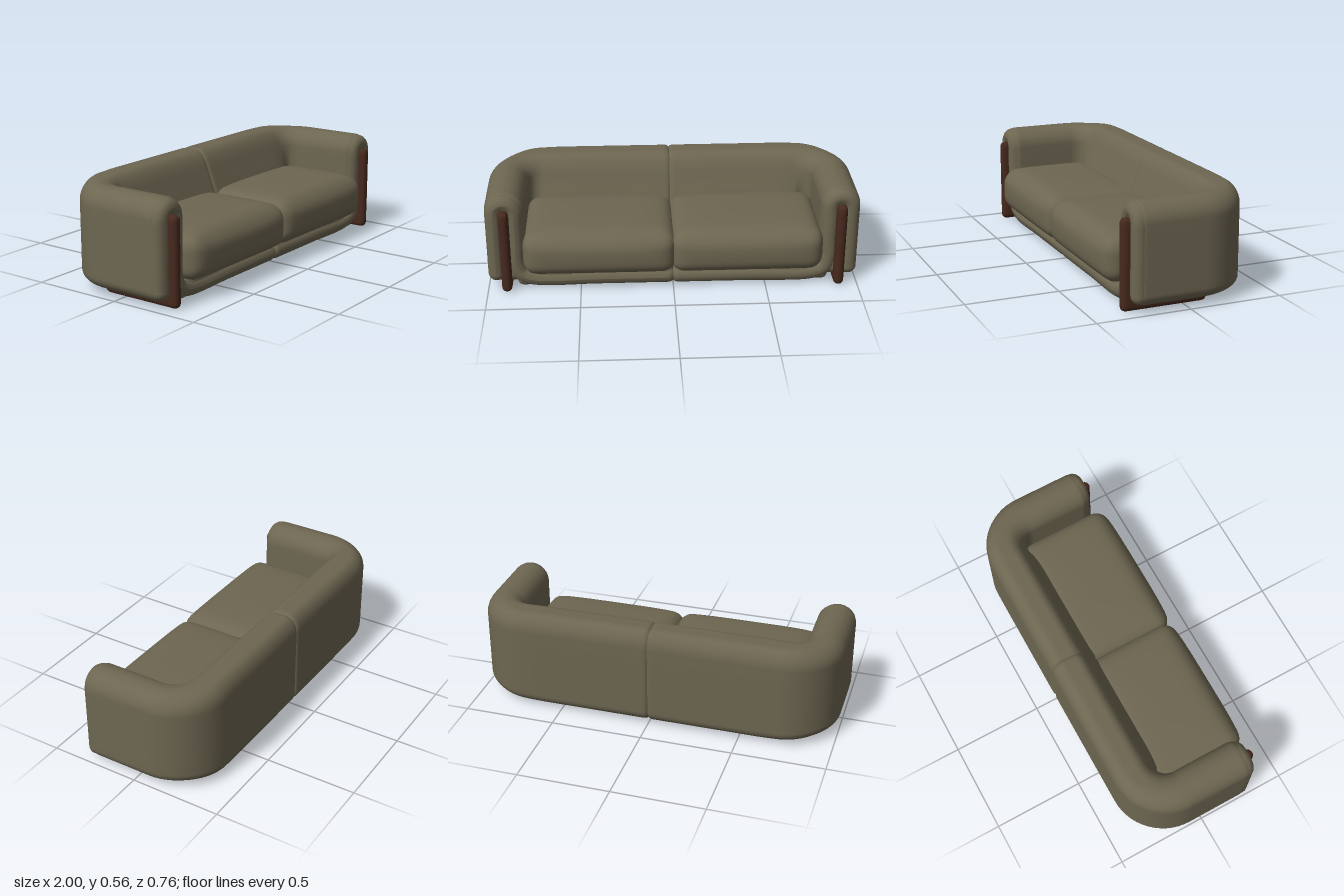
import * as THREE from 'three';
import { mergeVertices } from 'three/addons/utils/BufferGeometryUtils.js';

const fabric = new THREE.MeshStandardMaterial({ color: 0x6d6651 });
fabric.name = 'olive fabric';
const wood = new THREE.MeshStandardMaterial({ color: 0x47291e });
wood.name = 'dark wood';

// Box with rounded edges of radius r, swollen on top (crown) and in front (bulge)
function softBox(w, h, d, r, crown = 0, bulge = 0) {
  let g = new THREE.BoxGeometry(2, 2, 2, 24, 20, 24);
  g.deleteAttribute('uv');
  g.deleteAttribute('normal');
  g = mergeVertices(g);
  const pos = g.attributes.position;
  const half = new THREE.Vector3(w / 2, h / 2, d / 2);
  const core = half.clone().subScalar(r);
  const p = new THREE.Vector3(), inner = new THREE.Vector3();
  const ease = v => Math.sin(v * Math.PI / 2);
  for (let i = 0; i < pos.count; i++) {
    p.fromBufferAttribute(pos, i);
    p.set(ease(p.x), ease(p.y), ease(p.z)).multiply(half);
    inner.copy(p).clamp(core.clone().negate(), core);
    p.sub(inner).setLength(r).add(inner);
    const fx = 1 - (p.x / half.x) ** 4, fy = 1 - (p.y / half.y) ** 2, fz = 1 - (p.z / half.z) ** 4;
    if (p.y > 0) p.y += crown * fx * fz * p.y / half.y;
    if (p.z > 0) p.z += bulge * fx * fy * p.z / half.z;
    pos.setXYZ(i, p.x, p.y, p.z);
  }
  g.computeVertexNormals();
  return g;
}

// Rounded upright cross-section: u runs inward from the outer face, e is the inset
function shellSection(t, lean, y0, y1, e) {
  const corners = [
    [e, y0 + e, 0.06, Math.PI * 1.5], [e, y1 - e, 0.1, Math.PI],
    [t - e, y1 - e, 0.1, Math.PI / 2], [t - e, y0 + e, 0.06, 0],
  ];
  const arcs = corners.map(([u, y, radius, start]) => {
    const r = Math.max(radius - e, 0.01);
    const cu = u + (u < t / 2 ? r : -r), cy = y + (y < 0.3 ? r : -r);
    return Array.from({ length: 9 }, (_, k) => {
      const a = start - k / 8 * Math.PI / 2;
      return [cu + r * Math.cos(a), cy + r * Math.sin(a)];
    });
  });
  const out = [];
  arcs.forEach((arc, i) => {
    out.push(...arc);
    const a = arc[8], b = arcs[(i + 1) % 4][0];
    for (let k = 1; k < 6; k++) {
      out.push([THREE.MathUtils.lerp(a[0], b[0], k / 6), THREE.MathUtils.lerp(a[1], b[1], k / 6)]);
    }
  });
  // lean the inner face back above the seat
  return out.map(([u, y]) => [u - lean * THREE.MathUtils.smoothstep(y, 0.2, 0.56) * u / t, y]);
}

// Half of the back, its round corner and one arm, swept as a single body
function shellHalf() {
  const stations = []; // x, z, outward normal x, z, back fraction, inset
  [[0, 0.012], [0.006, 0.005], [0.016, 0.001], [0.03, 0], [0.3, 0], [0.5, 0], [0.6, 0], [0.65, 0]]
    .forEach(([x, e]) => stations.push([x, -0.38, 0, -1, x > 0.62 ? 0.93 : 1, e]));
  for (let k = 0; k <= 14; k++) {
    const a = k / 14 * Math.PI / 2;
    const b = 0.8 * (1 - THREE.MathUtils.smoothstep(k / 14, 0, 0.65));
    stations.push([0.7 + 0.3 * Math.sin(a), -0.08 - 0.3 * Math.cos(a), Math.sin(a), -Math.cos(a), b, 0]);
  }
  [0.05, 0.15].forEach(z => stations.push([1, z, 1, 0, 0, 0]));
  for (let k = 0; k <= 7; k++) {
    const a = k / 7 * Math.PI / 2;
    stations.push([1, 0.235 + 0.055 * Math.sin(a), 1, 0, 0, 0.05 * (1 - Math.cos(a))]);
  }
  const verts = [], index = [];
  let n = 0;
  for (const [x, z, nx, nz, b, e] of stations) {
    const sec = shellSection(0.21 + 0.09 * b, 0.1 * b, 0.037 - 0.017 * b, 0.556 + 0.008 * b, e);
    n = sec.length;
    for (const [u, y] of sec) verts.push(x - nx * u, y, z - nz * u);
  }
  for (let j = 0; j < stations.length - 1; j++) {
    for (let i = 0; i < n; i++) {
      const i2 = (i + 1) % n, a = j * n + i, b = j * n + i2;
      index.push(a, b, a + n, b, b + n, a + n);
    }
  }
  // front end cap
  const last = (stations.length - 1) * n, centre = verts.length / 3;
  verts.push(0.895, 0.3, 0.29);
  for (let i = 0; i < n; i++) index.push(last + i, last + (i + 1) % n, centre);
  const g = new THREE.BufferGeometry();
  g.setAttribute('position', new THREE.Float32BufferAttribute(verts, 3));
  g.setIndex(index);
  g.computeVertexNormals();
  return g;
}

// Front edge roll: up the outer arm, over the leg, down and along the base
function frontRollPath() {
  const pts = [[0.953, 0.09], [0.953, 0.25], [0.953, 0.4]];
  for (let k = 0; k <= 8; k++) {
    const a = k / 8 * Math.PI;
    pts.push([0.8975 + 0.0555 * Math.cos(a), 0.452 + 0.0555 * Math.sin(a)]);
  }
  pts.push([0.842, 0.4], [0.842, 0.25], [0.842, 0.15], [0.818, 0.085], [0.75, 0.057], [0.4, 0.055], [0.03, 0.055]);
  return new THREE.CatmullRomCurve3(pts.map(([x, y]) => new THREE.Vector3(x, y, 0.257)), false, 'centripetal');
}

function mirrored(g) {
  const m = g.clone().scale(-1, 1, 1);
  const ix = m.index.array;
  for (let i = 0; i < ix.length; i += 3) [ix[i], ix[i + 1]] = [ix[i + 1], ix[i]];
  m.computeVertexNormals();
  return m;
}

export function createModel() {
  const model = new THREE.Group();
  model.name = 'sofa';
  const addPair = (name, geometry, material) => {
    [['left', geometry], ['right', mirrored(geometry)]].forEach(([side, g]) => {
      const mesh = new THREE.Mesh(g, material);
      mesh.name = side + name;
      model.add(mesh);
    });
  };

  addPair('BackAndArm', shellHalf(), fabric);
  addPair('SeatCushion', softBox(0.82, 0.235, 0.55, 0.075, 0.025, 0.02).translate(0.395, 0.2175, 0.085), fabric);
  addPair('Base', softBox(0.845, 0.1, 0.59, 0.035).translate(0.42, 0.062, -0.005), fabric);

  // rolled front edge with rounded ends
  addPair('FrontRoll', new THREE.TubeGeometry(frontRollPath(), 110, 0.045, 16), fabric);
  [[0.953, 0.09], [0.03, 0.055]].forEach(([x, y], i) =>
    addPair(i ? 'RollInnerEnd' : 'RollOuterEnd', new THREE.SphereGeometry(0.045, 20, 14).translate(x, y, 0.257), fabric));

  // wooden leg panel running through each arm
  addPair('LegPanel', softBox(0.056, 0.475, 0.465, 0.0275).translate(0.897, 0.2375, 0.1025), wood);
  return model;
}
